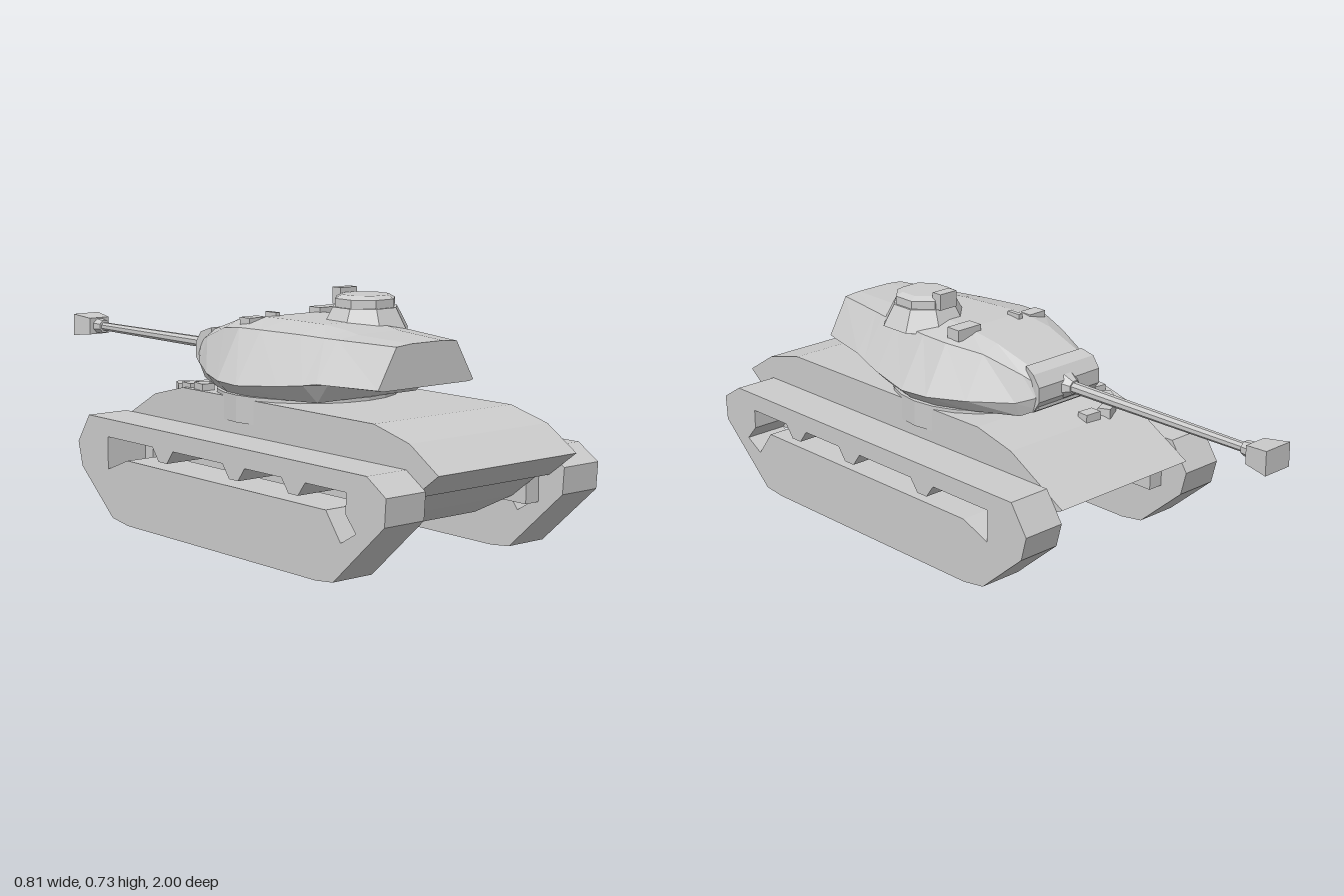
import * as THREE from 'three';
import { ConvexGeometry } from 'three/addons/geometries/ConvexGeometry.js';

const grey = new THREE.MeshStandardMaterial({ color: 0xcccccc, flatShading: true });

function add(parent, name, geometry, x = 0, y = 0, z = 0) {
  const mesh = new THREE.Mesh(geometry, grey);
  mesh.name = name;
  mesh.position.set(x, y, z);
  parent.add(mesh);
  return mesh;
}

// Convex solid mirrored across x = 0 from [halfWidth, y, z] points
function mirroredHull(points) {
  return new ConvexGeometry(points.flatMap(([x, y, z]) =>
    [new THREE.Vector3(x, y, z), new THREE.Vector3(-x, y, z)]));
}

// Skin through rings of [x, y, z] (counter-clockwise seen from +z, ordered towards +z)
function loft(rings) {
  const n = rings[0].length, last = (rings.length - 1) * n, index = [];
  for (let k = 0; k < rings.length - 1; k++) {
    for (let i = 0; i < n; i++) {
      const a = k * n + i, b = k * n + (i + 1) % n;
      index.push(a, b, b + n, a, b + n, a + n);
    }
  }
  for (let i = 1; i < n - 1; i++) index.push(0, i + 1, i, last, last + i, last + i + 1);
  const g = new THREE.BufferGeometry();
  g.setAttribute('position', new THREE.Float32BufferAttribute(rings.flat(2), 3));
  g.setIndex(index);
  g.computeVertexNormals();
  return g;
}

// Cylinder lying along z, first radius at the -z end
function rod(rFront, rBack, length, sides) {
  return new THREE.CylinderGeometry(rFront, rBack, length, sides)
    .rotateY(Math.PI / sides).rotateX(-Math.PI / 2);
}

function buildHull(group) {
  const profile = [[0.24, 0.9], [0.315, 1], [0.385, 0.89], [0.42, 0.75],
    [0.42, -0.1], [0.385, -0.24], [0.265, -0.45], [0.24, -0.4]];
  add(group, 'upperHull', mirroredHull(profile.map(([y, z]) => [0.263, y, z])));
  add(group, 'lowerHull', mirroredHull([
    [0.218, 0.245, -0.4], [0.218, 0.245, 0.9], [0.218, 0.175, -0.25],
    [0.218, 0.175, 0.81], [0.135, 0.125, -0.13], [0.135, 0.125, 0.74]]));
  add(group, 'turretRing', new THREE.CylinderGeometry(0.272, 0.272, 0.08, 24), 0, 0.39, 0.17);
  add(group, 'rearBracket', new THREE.BoxGeometry(0.08, 0.05, 0.07), -0.16, 0.147, 0.74);

  // Spare track links curving around the front corner of the turret
  const curve = new THREE.CatmullRomCurve3([
    new THREE.Vector3(-0.08, 0.395, -0.22), new THREE.Vector3(-0.15, 0.395, -0.225),
    new THREE.Vector3(-0.21, 0.41, -0.16), new THREE.Vector3(-0.235, 0.425, -0.03)]);
  for (let i = 0; i < 5; i++) {
    const p = curve.getPointAt(i / 4), t = curve.getTangentAt(i / 4);
    const link = add(group, 'spareTrackLink', new THREE.BoxGeometry(0.055, 0.03, 0.04), p.x, p.y, p.z);
    link.rotation.y = Math.atan2(-t.z, t.x);
  }
}

// Track unit with fender: side profile with a toothed slot under the skirt
function trackGeometry() {
  const v = (list) => list.map(([z, y]) => new THREE.Vector2(z, y));
  const shape = new THREE.Shape(v([[0.68, 0], [-0.19, 0], [-0.27, 0.012], [-0.43, 0.15],
    [-0.45, 0.225], [-0.39, 0.315], [0.88, 0.315], [0.955, 0.268], [0.95, 0.19], [0.75, 0.008]]));
  const slot = [[0.72, 0.2], [0.78, 0.12], [0.84, 0.155], [0.8, 0.2], [0.8, 0.26]];
  for (const z of [0.585, 0.325, -0.01]) {
    slot.push([z + 0.05, 0.26], [z + 0.02, 0.22], [z - 0.02, 0.22], [z - 0.05, 0.26]);
  }
  slot.push([-0.29, 0.26], [-0.29, 0.16], [-0.19, 0.2]);
  shape.holes.push(new THREE.Path(v(slot)));
  return new THREE.ExtrudeGeometry(shape, { depth: 0.14, bevelEnabled: false })
    .rotateY(-Math.PI / 2).translate(0.07, 0, 0);
}

function buildTracks(group) {
  const track = trackGeometry();
  for (const [side, s] of [['left', 1], ['right', -1]]) {
    add(group, side + 'Track', track, s * 0.335);
    add(group, side + 'RearDrive', new THREE.BoxGeometry(0.052, 0.085, 0.12), s * 0.24, 0.198, 0.8);
    add(group, side + 'FrontDrive', new THREE.BoxGeometry(0.052, 0.085, 0.1), s * 0.24, 0.198, -0.3);
  }
}

function buildTurret(group) {
  // z, then half-width and height of bottom, waist, shoulder and roof
  const stations = [
    [-0.2, 0.11, 0.46, 0.125, 0.5, 0.115, 0.54, 0.09, 0.555],
    [-0.15, 0.14, 0.435, 0.16, 0.48, 0.13, 0.56, 0.1, 0.58],
    [-0.02, 0.2, 0.43, 0.235, 0.47, 0.165, 0.6, 0.11, 0.622],
    [0.1, 0.25, 0.43, 0.287, 0.465, 0.205, 0.615, 0.11, 0.64],
    [0.2, 0.26, 0.43, 0.297, 0.463, 0.205, 0.617, 0.1, 0.64],
    [0.35, 0.22, 0.43, 0.267, 0.475, 0.18, 0.615, 0.09, 0.638],
    [0.435, 0.19, 0.43, 0.245, 0.485, 0.165, 0.612, 0.08, 0.628],
    [0.48, 0.19, 0.487, 0.233, 0.492, 0.155, 0.611, 0.08, 0.62],
    [0.678, 0.165, 0.488, 0.182, 0.492, 0.115, 0.607, 0.06, 0.612]];
  add(group, 'turretBody', loft(stations.map(([z, b, yb, m, ym, s, ys, t, yt]) => [
    [b, yb, z], [m, ym, z], [s, ys, z], [t, yt, z],
    [-t, yt, z], [-s, ys, z], [-m, ym, z], [-b, yb, z]])));
  add(group, 'turretCollar', new THREE.CylinderGeometry(0.25, 0.25, 0.02, 16), 0, 0.427, 0.17);

  // Commander's cupola
  const cupola = new THREE.Group();
  cupola.name = 'cupola';
  cupola.position.set(0.1, 0, 0.31);
  group.add(cupola);
  const drum = (name, rTop, rBottom, y0, y1) => add(cupola, name,
    new THREE.CylinderGeometry(rTop, rBottom, y1 - y0, 8).rotateY(Math.PI / 8), 0, (y0 + y1) / 2);
  drum('cupolaSkirt', 0.1, 0.135, 0.61, 0.675);
  drum('cupolaRing', 0.093, 0.093, 0.675, 0.7);
  drum('cupolaLid', 0.072, 0.093, 0.7, 0.711);
  add(cupola, 'cupolaPeriscope', new THREE.BoxGeometry(0.065, 0.05, 0.035), 0, 0.7, -0.09);

  // Roof fittings
  add(group, 'roofPeriscope', new THREE.BoxGeometry(0.09, 0.035, 0.05), 0.135, 0.637, 0.095);
  add(group, 'roofVent', new THREE.BoxGeometry(0.065, 0.03, 0.045), -0.14, 0.625, 0.085);
  add(group, 'roofHook', new THREE.BoxGeometry(0.015, 0.015, 0.05), -0.07, 0.643, 0.09);
}

function buildGun(group) {
  add(group, 'mantlet', mirroredHull([
    [0.115, 0.585, -0.15], [0.125, 0.57, -0.19], [0.125, 0.535, -0.215], [0.125, 0.49, -0.215],
    [0.12, 0.45, -0.185], [0.11, 0.445, -0.15]]));
  add(group, 'barrelSleeve', rod(0.022, 0.04, 0.03, 8), 0, 0.512, -0.222);
  add(group, 'barrel', rod(0.014, 0.018, 0.7, 8), 0, 0.512, -0.55);
  add(group, 'muzzleCollar', rod(0.026, 0.022, 0.035, 8), 0, 0.512, -0.905);
  add(group, 'muzzleBrake', rod(0.05 * Math.SQRT2, 0.038 * Math.SQRT2, 0.08, 4).scale(1, 0.72, 1),
    0, 0.512, -0.96);
}

export function createModel() {
  const model = new THREE.Group();
  model.name = 'tank';
  for (const [name, build] of [['hull', buildHull], ['tracks', buildTracks],
    ['turret', buildTurret], ['gun', buildGun]]) {
    const part = new THREE.Group();
    part.name = name;
    build(part);
    model.add(part);
  }
  return model;
}
